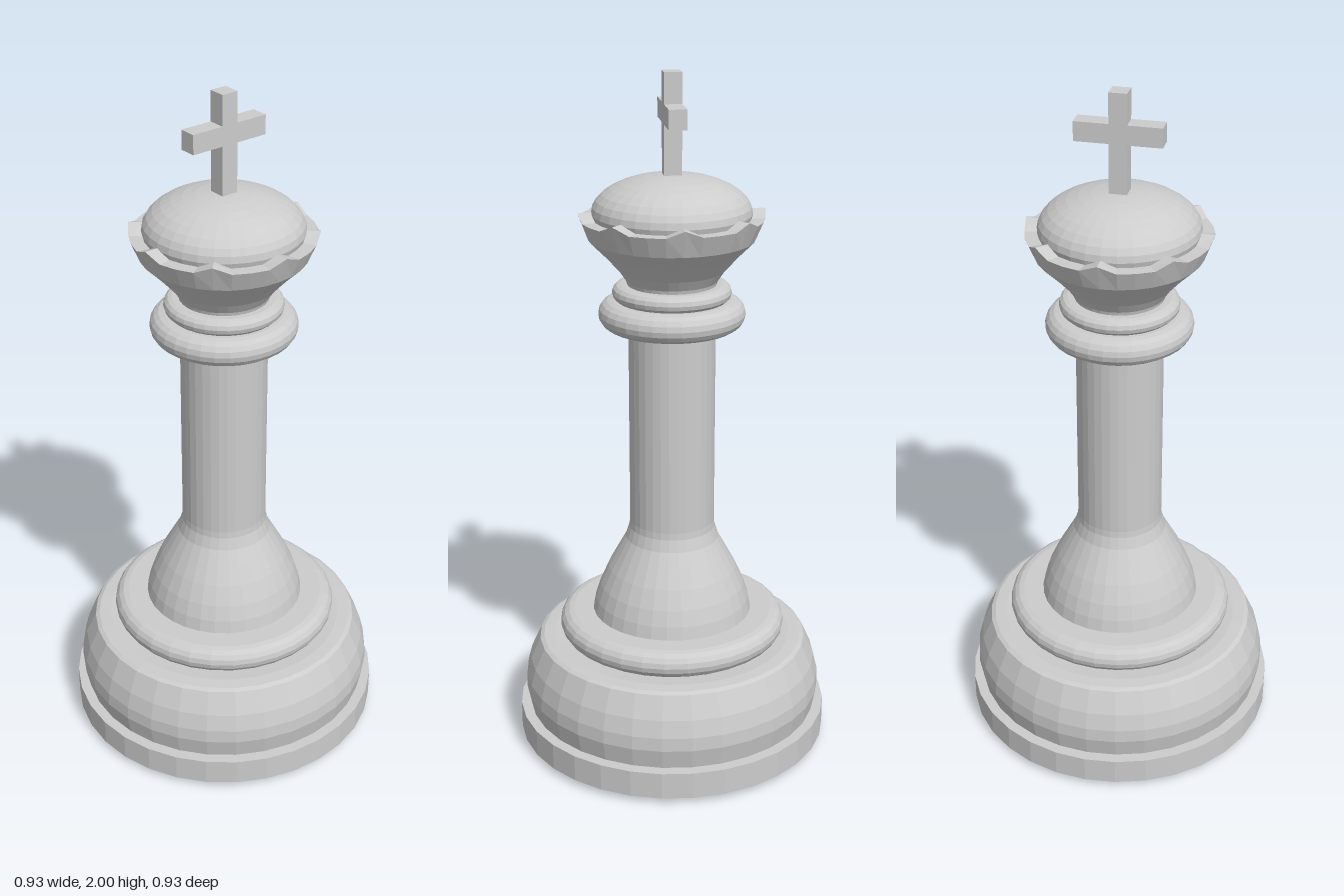
import * as THREE from 'three';

const SIDES = 32;

export function createModel() {
  const model = new THREE.Group();
  model.name = 'chessKing';
  const stone = new THREE.MeshStandardMaterial({ color: 0xcccccc, flatShading: true });
  stone.name = 'paleGrey';

  const add = (name, geometry, y = 0) => {
    const mesh = new THREE.Mesh(geometry, stone);
    mesh.name = name;
    mesh.position.y = y;
    model.add(mesh);
    return mesh;
  };
  // Turned part: profile of [radius, height] pairs from bottom to top
  const turn = (profile) =>
    new THREE.LatheGeometry(profile.map(([r, y]) => new THREE.Vector2(r, y)), SIDES);
  // Turned ring with a rounded outer edge
  const bead = (inner, outer, y0, y1, steps = 8) => {
    const h = (y1 - y0) / 2, bulge = Math.min(h, outer - inner);
    const profile = [[inner, y0]];
    for (let i = 0; i <= steps; i++) {
      const a = -Math.PI / 2 + (Math.PI * i) / steps;
      profile.push([outer - bulge + bulge * Math.cos(a), y0 + h + h * Math.sin(a)]);
    }
    profile.push([inner, y1]);
    return turn(profile);
  };

  // Base
  add('foot', turn([[0, 0], [0.36, 0], [0.385, 0.018]]));
  add('baseDisc', turn([[0.385, 0.018], [0.465, 0.018], [0.465, 0.098], [0.42, 0.098]]));
  add('baseDrum', turn([[0.42, 0.098], [0.435, 0.1], [0.447, 0.16], [0.445, 0.2],
    [0.432, 0.25], [0.402, 0.315], [0.39, 0.321], [0.355, 0.323], [0.3, 0.318]]));
  add('baseRing', bead(0.22, 0.338, 0.322, 0.402));

  // Flared skirt running into the column
  add('column', turn([[0.238, 0.4], [0.23, 0.44], [0.215, 0.485], [0.19, 0.54], [0.16, 0.595],
    [0.138, 0.635], [0.127, 0.67], [0.125, 0.69], [0.125, 1.3]]));

  // Collar
  add('lowerCollar', bead(0.11, 0.21, 1.283, 1.365));
  add('upperCollar', bead(0.11, 0.17, 1.362, 1.41, 6));

  // Crown, with eight raised tips on the rim
  const profile = [[0.125, 1.4], [0.13, 1.42], [0.15, 1.45], [0.19, 1.495], [0.235, 1.54],
    [0.26, 1.598], [0.222, 1.598], [0.2, 1.56]];
  const crown = turn(profile);
  const pos = crown.attributes.position;
  for (let i = 0; i <= SIDES; i += 4) {
    for (const j of [5, 6]) {
      const k = i * profile.length + j;
      pos.setY(k, 1.618);
      if (j === 5) {
        pos.setX(k, pos.getX(k) * 1.015);
        pos.setZ(k, pos.getZ(k) * 1.015);
      }
    }
  }
  crown.computeVertexNormals();
  add('crown', crown);

  // Dome
  const dome = [[0.2, 1.56], [0.22, 1.59]];
  for (let i = 0; i <= 9; i++) {
    const a = (Math.PI / 2) * (i / 9);
    dome.push([0.226 * Math.cos(a), 1.612 + 0.109 * Math.sin(a)]);
  }
  add('dome', turn(dome));

  // Cross: upright post with an arm on each side
  add('crossPost', new THREE.BoxGeometry(0.05, 0.31, 0.05), 1.845);
  for (const side of [-1, 1]) {
    add('crossArm', new THREE.BoxGeometry(0.05, 0.055, 0.096), 1.887).position.z = side * 0.073;
  }

  return model;
}
